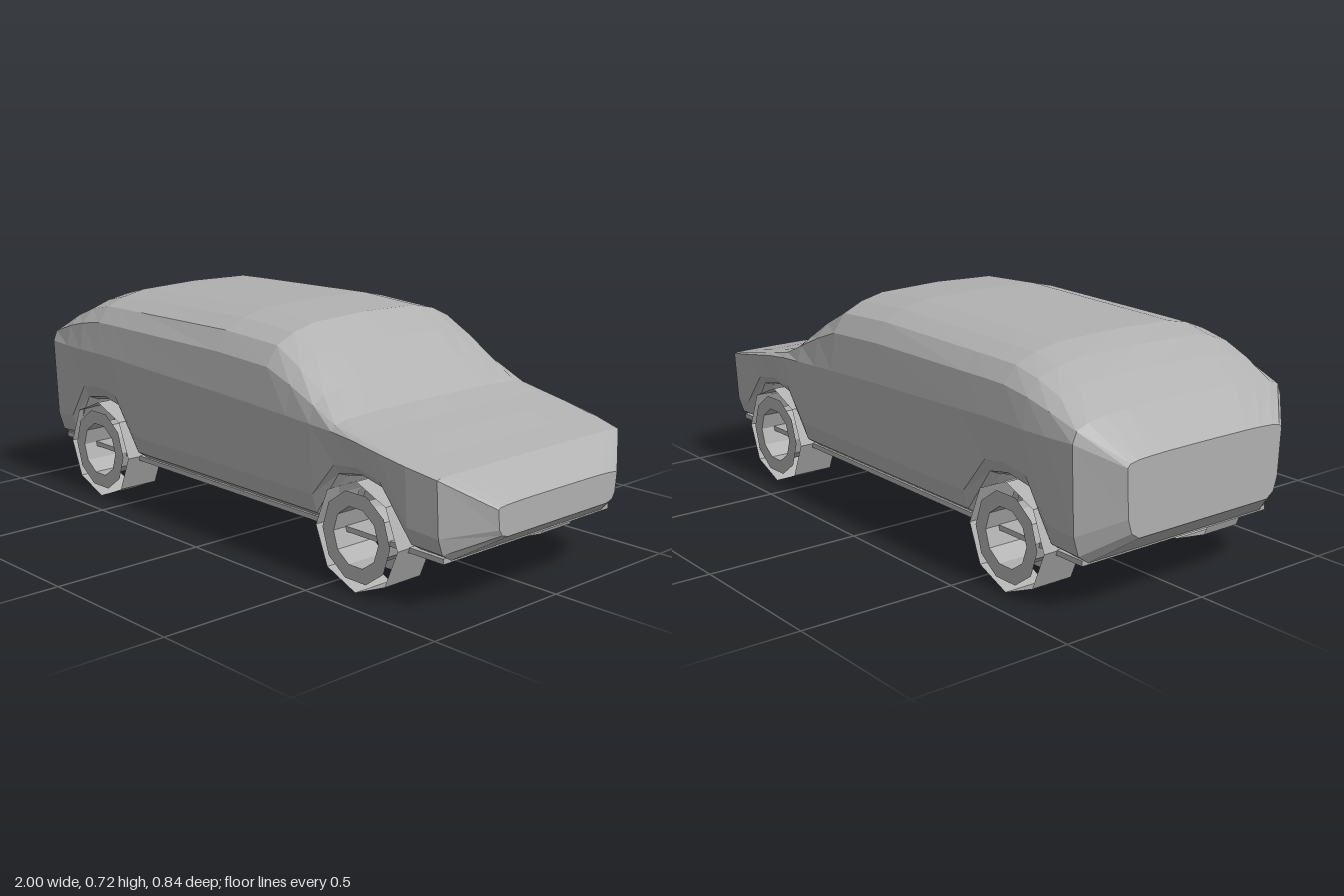
import * as THREE from 'three';

const bodyGrey = new THREE.MeshStandardMaterial({ color: 0xb0b0b0, flatShading: true, side: THREE.DoubleSide });
bodyGrey.name = 'grey';

// Body stations along the length: x, roof height, belt height, half width, underside height
const STATIONS = [
  [-1, 0.46, 0.44, 0.30, 0.235],
  [-0.9, 0.565, 0.5, 0.405, 0.155],
  [-0.8, 0.63, 0.5, 0.415, 0.165],
  [-0.715, 0.673, 0.5, 0.42, 0.315],
  [-0.62, 0.70, 0.5, 0.42, 0.332],
  [-0.54, 0.703, 0.5, 0.42, 0.315],
  [-0.44, 0.706, 0.495, 0.42, 0.165],
  [0, 0.718, 0.48, 0.42, 0.165],
  [0.23, 0.706, 0.47, 0.42, 0.165],
  [0.33, 0.64, 0.465, 0.42, 0.165],
  [0.43, 0.56, 0.46, 0.42, 0.165],
  [0.52, 0.487, 0.455, 0.42, 0.315],
  [0.61, 0.462, 0.445, 0.42, 0.335],
  [0.7, 0.443, 0.43, 0.42, 0.315],
  [0.8, 0.42, 0.412, 0.413, 0.165],
  [0.9, 0.398, 0.392, 0.395, 0.155],
  [1, 0.315, 0.305, 0.26, 0.222],
];

// Closed cross-section: sill, flank, belt and rounded roof, mirrored across the middle
function section([x, top, belt, w, low]) {
  const h = top - belt;
  const tuck = Math.min(0.085, 0.3 * (belt - low));
  const half = [
    [0.84, low], [0.93, low + tuck * 0.3], [0.975, low + tuck], [1, belt],
    [0.965, belt + 0.51 * h], [0.87, belt + 0.76 * h], [0.71, belt + 0.89 * h], [0.52, belt + 0.97 * h],
  ].map(([k, y]) => [x, y, k * w]);
  const mirrored = half.slice().reverse().map(([px, y, z]) => [px, y, -z]);
  return [[x, low, 0], ...half, [x, top, 0], ...mirrored];
}

function bodyGeometry() {
  const rings = STATIONS.map(section);
  const n = rings[0].length;
  const index = [];
  for (let i = 0; i < rings.length - 1; i++) {
    for (let j = 0; j < n; j++) {
      const a = i * n + j, c = i * n + (j + 1) % n;
      index.push(a, a + n, c, a + n, c + n, c);
    }
  }
  // Flat tail and nose
  const last = (rings.length - 1) * n;
  for (let j = 1; j < n - 1; j++) {
    index.push(0, j, j + 1);
    index.push(last, last + j + 1, last + j);
  }
  const geometry = new THREE.BufferGeometry();
  geometry.setAttribute('position', new THREE.Float32BufferAttribute(rings.flat(2), 3));
  geometry.setIndex(index);
  const flat = geometry.toNonIndexed();
  flat.computeVertexNormals();
  return flat;
}

function add(parent, name, geometry, x = 0, y = 0, z = 0) {
  const mesh = new THREE.Mesh(geometry, bodyGrey);
  mesh.name = name;
  mesh.position.set(x, y, z);
  parent.add(mesh);
  return mesh;
}

// Hollow wheel: open eight-sided tread with ten-sided rim rings
function createWheel(name, x, side) {
  const wheel = new THREE.Group();
  wheel.name = name;
  const width = 0.142;
  add(wheel, 'tread', new THREE.CylinderGeometry(0.164, 0.164, width, 8, 1, true).rotateX(Math.PI / 2));
  add(wheel, 'outerRim', new THREE.RingGeometry(0.09, 0.136, 10), 0, 0, width / 2);
  add(wheel, 'innerRim', new THREE.RingGeometry(0.09, 0.136, 10).rotateY(Math.PI), 0, 0, -width / 2);
  add(wheel, 'rimBore', new THREE.CylinderGeometry(0.09, 0.09, width, 10, 1, true)
    .rotateY(Math.PI / 2).rotateX(Math.PI / 2));
  wheel.position.set(x, 0.164, side * 0.339);
  if (side < 0) wheel.rotation.y = Math.PI;
  return wheel;
}

export function createModel() {
  const car = new THREE.Group();
  car.name = 'car';
  add(car, 'body', bodyGeometry());
  add(car, 'floorPlate', new THREE.BoxGeometry(1.8, 0.016, 0.725), 0, 0.158, 0);
  for (const [end, x] of [['rear', -0.635], ['front', 0.61]]) {
    for (const side of [1, -1]) {
      car.add(createWheel(`${end}Wheel${side > 0 ? 'Near' : 'Far'}`, x, side));
    }
  }
  return car;
}
